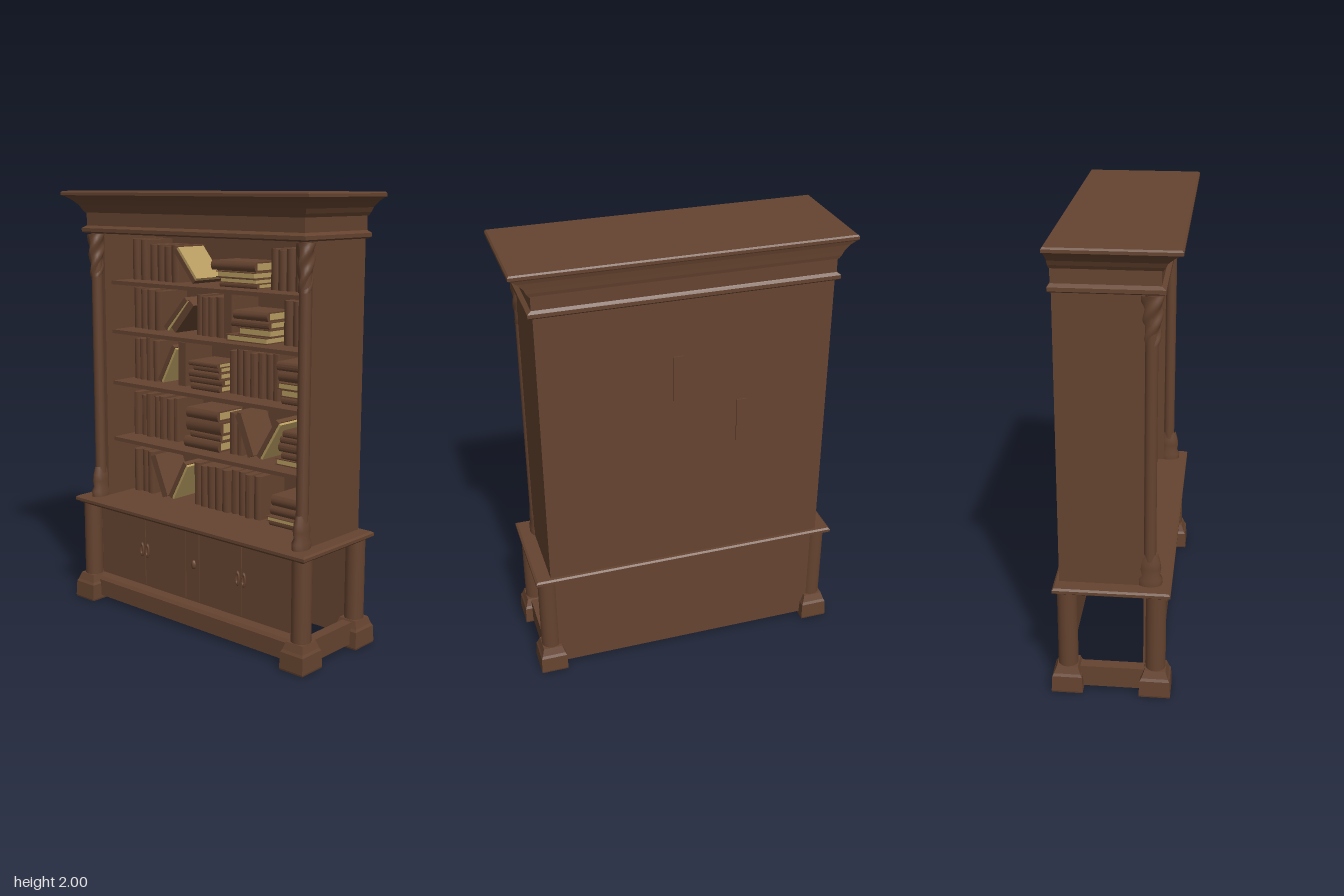
import * as THREE from 'three';
import { toCreasedNormals } from 'three/addons/utils/BufferGeometryUtils.js';

const wood = new THREE.MeshStandardMaterial({ color: 0x65432f });
wood.name = 'brown wood';
const paper = new THREE.MeshStandardMaterial({ color: 0xb89c60 });
paper.name = 'tan paper';

let seed = 7;
const rand = () => (seed = (seed * 16807) % 2147483647) / 2147483647;

function add(parent, name, geometry, material = wood) {
  const mesh = new THREE.Mesh(geometry, material);
  mesh.name = name;
  parent.add(mesh);
  return mesh;
}

// Box given by its limits on each axis
function box(parent, name, x0, x1, y0, y1, z0, z1, material = wood) {
  const mesh = add(parent, name, new THREE.BoxGeometry(x1 - x0, y1 - y0, z1 - z0), material);
  mesh.position.set((x0 + x1) / 2, (y0 + y1) / 2, (z0 + z1) / 2);
  return mesh;
}

// Stacked rectangular sections [y, half width, front z, back z]
function loft(sections) {
  const p = [];
  const rings = sections.map(([y, x, f, b]) => [[x, y, f], [x, y, b], [-x, y, b], [-x, y, f]]);
  const quad = (a, b, c, d) => p.push(...a, ...b, ...c, ...a, ...c, ...d);
  for (let k = 0; k + 1 < rings.length; k++) {
    for (let i = 0; i < 4; i++) {
      const j = (i + 1) % 4;
      quad(rings[k][i], rings[k][j], rings[k + 1][j], rings[k + 1][i]);
    }
  }
  quad(...rings[rings.length - 1]);
  quad(...[...rings[0]].reverse());
  const g = new THREE.BufferGeometry();
  g.setAttribute('position', new THREE.Float32BufferAttribute(p, 3));
  g.computeVertexNormals();
  return g;
}

// Book standing on its tail, rounded spine at z = 0, reaching back by d
function book(t, h, d, withPages) {
  const g = new THREE.Group();
  g.name = 'book';
  const b = Math.min(0.01, t / 4), e = t * 0.14;
  const s = new THREE.Shape();
  s.moveTo(-t / 2, d);
  s.lineTo(-t / 2, b);
  s.quadraticCurveTo(0, -b, t / 2, b);
  s.lineTo(t / 2, d);
  if (withPages) {
    s.lineTo(t / 2 - e, d);
    s.lineTo(t / 2 - e, 0.02);
    s.lineTo(e - t / 2, 0.02);
    s.lineTo(e - t / 2, d);
    box(g, 'pages', e - t / 2, t / 2 - e, 0.006, h - 0.006, 0.005 - d, -0.02, paper);
  }
  const cover = new THREE.ExtrudeGeometry(s, { depth: h, bevelEnabled: false, curveSegments: 4 });
  cover.rotateX(-Math.PI / 2);
  add(g, 'cover', toCreasedNormals(cover, 0.7));
  return g;
}

function uprightBooks(parent, y, x0, x1, h) {
  const n = Math.max(1, Math.round((x1 - x0) / 0.047)), w = (x1 - x0) / n;
  for (let i = 0; i < n; i++) {
    const b = book(w * (0.8 + 0.15 * rand()), h * (0.93 + 0.07 * rand()), 0.19, false);
    b.position.set(x0 + w * (i + 0.5), y, -0.03 - 0.015 * rand());
    parent.add(b);
  }
}

// Lying books, bottom first: [x0, x1, thickness, pages to the front]
function bookStack(parent, y, books) {
  for (const [x0, x1, t, pagesFront] of books) {
    const b = book(t * 0.96, x1 - x0, 0.18, true);
    const front = 0.01 - 0.03 * rand();
    b.rotation.set(0, pagesFront ? Math.PI : 0, Math.PI / 2);
    b.position.set(pagesFront ? x0 : x1, y + t / 2, pagesFront ? front - 0.18 : front);
    parent.add(b);
    y += t;
  }
}

function leaningBook(parent, x, y, angle, h, open) {
  const g = new THREE.Group();
  g.name = 'leaning book';
  box(g, 'cover', -0.018, open ? 0.004 : 0.018, 0, h, -0.2, -0.02);
  if (open) box(g, 'pages', 0.004, 0.016, 0.004, h - 0.004, -0.195, -0.023, paper);
  g.position.set(x, y, 0);
  g.rotation.z = angle;
  parent.add(g);
}

// Slim column with a twisted upper part and a swelling foot
function column() {
  const g = new THREE.Group();
  g.name = 'column';
  add(g, 'shaft', new THREE.CylinderGeometry(0.026, 0.026, 1.29, 16)).position.y = 1.165;
  const twist = new THREE.CylinderGeometry(0.03, 0.03, 0.2, 24, 24, true);
  const p = twist.attributes.position;
  for (let i = 0; i < p.count; i++) {
    const y = p.getY(i), a = Math.atan2(p.getZ(i), p.getX(i));
    const r = 0.027 + 0.012 * (y / 0.2 + 0.5) + 0.004 * Math.cos(3 * a + 75 * y);
    p.setXYZ(i, r * 0.85 * Math.cos(a), y, r * 1.15 * Math.sin(a));
  }
  twist.computeVertexNormals();
  add(g, 'twisted capital', twist).position.y = 1.7;
  const profile = [[0.04, 0.515], [0.042, 0.55], [0.033, 0.57], [0.037, 0.6], [0.034, 0.63], [0.026, 0.67]];
  add(g, 'columnFoot', new THREE.LatheGeometry(profile.map(q => new THREE.Vector2(...q)), 16)).scale.set(0.8, 1, 1.3);
  return g;
}

export function createModel() {
  const model = new THREE.Group();
  model.name = 'bookcase';

  // Crown, frieze and its lower moulding
  add(model, 'crown', loft([
    [1.9, 0.655, 0.19, -0.245], [1.915, 0.665, 0.2, -0.248], [1.935, 0.675, 0.21, -0.25],
    [1.96, 0.7, 0.235, -0.253], [1.975, 0.722, 0.255, -0.257], [1.98, 0.735, 0.27, -0.26],
    [1.993, 0.735, 0.27, -0.26], [2, 0.728, 0.263, -0.255]]));
  add(model, 'frieze', loft([
    [1.805, 0.655, 0.19, -0.245], [1.812, 0.667, 0.203, -0.253], [1.828, 0.667, 0.203, -0.253],
    [1.84, 0.65, 0.185, -0.243], [1.905, 0.65, 0.185, -0.243]]));

  // Carcass and shelves
  box(model, 'back', -0.645, 0.645, 0.51, 1.81, -0.24, -0.22);
  for (const s of [-1, 1]) {
    const side = box(model, 'side', 0.6, 0.645, 0.51, 1.81, -0.235, 0.122);
    side.position.x *= s;
    const c = column();
    c.position.set(s * 0.628, 0, 0.147);
    model.add(c);
  }
  for (const y of [0.803, 1.083, 1.334, 1.57]) box(model, 'shelf', -0.6, 0.6, y - 0.01, y + 0.008, -0.22, 0.08);

  // Base top, legs and feet
  add(model, 'baseTop', loft([
    [0.485, 0.69, 0.215, -0.24], [0.495, 0.705, 0.23, -0.252], [0.502, 0.715, 0.24, -0.262],
    [0.515, 0.715, 0.24, -0.262], [0.522, 0.706, 0.231, -0.254]]));
  for (const x of [-0.657, 0.657]) {
    for (const z of [0.177, -0.205]) {
      const leg = add(model, 'leg', new THREE.CylinderGeometry(0.044, 0.044, 0.39, 16));
      leg.position.set(x, 0.3, z);
      const foot = add(model, 'foot', loft([
        [0, 0.061, 0.067, -0.067], [0.008, 0.063, 0.069, -0.069], [0.08, 0.06, 0.065, -0.065],
        [0.092, 0.054, 0.058, -0.058], [0.125, 0.044, 0.046, -0.046]]));
      foot.position.set(x, 0, z);
    }
  }

  // Base panels and rails; the end panels face inwards
  box(model, 'basePanelBack', -0.63, 0.63, 0.02, 0.49, -0.235, -0.22);
  box(model, 'basePanelFront', -0.62, 0.62, 0.1, 0.49, 0.12, 0.15);
  box(model, 'plinth', -0.61, 0.61, 0.02, 0.1, 0.13, 0.19);
  add(model, 'plinthMoulding', loft([[0.1, 0.61, 0.185, 0.13], [0.112, 0.61, 0.175, 0.13], [0.128, 0.61, 0.155, 0.13]]));
  for (const s of [-1, 1]) {
    const rail = box(model, 'sideRail', 0.635, 0.685, 0.02, 0.12, -0.15, 0.13);
    rail.position.x *= s;
    const end = add(model, 'endPanel', new THREE.PlaneGeometry(0.36, 0.33));
    end.position.set(s * 0.63, 0.295, -0.03);
    end.rotation.y = -s * Math.PI / 2;
  }

  // Doors and their pulls
  for (const [x0, x1] of [[-0.6, -0.312], [-0.308, -0.045], [-0.04, 0.04], [0.045, 0.298], [0.302, 0.6]])
    box(model, 'door', x0, x1, 0.135, 0.48, 0.149, 0.155);
  for (const x of [-0.328, -0.292, 0.282, 0.318]) {
    const pull = add(model, 'pull', new THREE.TorusGeometry(0.011, 0.004, 8, 20));
    pull.scale.set(0.8, 2.4, 1.5);
    pull.position.set(x, 0.31, 0.16);
  }
  const knob = add(model, 'knob', new THREE.SphereGeometry(0.013, 14, 10));
  knob.scale.set(1, 1.7, 0.9);
  knob.position.set(0.01, 0.31, 0.157);

  // Upright books: [shelf y, x0, x1, height]
  const runs = [
    [1.578, -0.585, -0.48, 0.195], [1.578, -0.47, -0.265, 0.175], [1.578, 0.28, 0.597, 0.185],
    [1.342, -0.585, -0.385, 0.2], [1.342, -0.165, -0.045, 0.19], [1.342, -0.04, 0.075, 0.19], [1.342, 0.36, 0.597, 0.2],
    [1.091, -0.585, -0.405, 0.21], [1.091, 0.04, 0.35, 0.21],
    [0.811, -0.585, -0.275, 0.215], [0.811, 0.055, 0.14, 0.2],
    [0.522, -0.585, -0.45, 0.215], [0.522, -0.185, 0.24, 0.21]];
  for (const r of runs) uprightBooks(model, ...r);

  // Two deep books that show through the back
  for (const [x, y] of [[-0.245, 1.1], [0.045, 1.35]])
    box(model, 'deepBook', x - 0.023, x + 0.023, y - 0.008, y + 0.2, -0.246, -0.035);

  // Stacks
  bookStack(model, 1.578, [[0.01, 0.23, 0.022, false], [0.02, 0.24, 0.022, true], [0.01, 0.235, 0.03, true], [-0.03, 0.23, 0.045, false]]);
  bookStack(model, 1.342, [[0.07, 0.31, 0.03, true], [0.13, 0.32, 0.035, true], [0.09, 0.31, 0.033, false], [0.1, 0.3, 0.042, false]]);
  bookStack(model, 1.091, [[-0.16, 0.02, 0.03, false], [-0.175, 0.03, 0.03, false], [-0.17, 0.02, 0.03, false],
    [-0.15, 0.01, 0.025, false], [-0.16, 0.02, 0.022, false]]);
  bookStack(model, 1.091, [[0.39, 0.58, 0.03, false], [0.38, 0.58, 0.035, true], [0.37, 0.57, 0.03, true], [0.36, 0.58, 0.05, false], [0.36, 0.575, 0.04, false]]);
  bookStack(model, 0.811, [[-0.2, 0.02, 0.05, false], [-0.17, 0.02, 0.03, false], [-0.19, 0.03, 0.065, false], [-0.18, 0.02, 0.05, false]]);
  bookStack(model, 0.811, [[0.35, 0.58, 0.03, true], [0.38, 0.57, 0.03, false], [0.36, 0.58, 0.04, false], [0.37, 0.57, 0.03, false], [0.39, 0.56, 0.03, false]]);
  bookStack(model, 0.522, [[0.31, 0.55, 0.03, false], [0.32, 0.55, 0.022, true], [0.32, 0.56, 0.045, false], [0.33, 0.55, 0.05, false]]);

  // Leaning books: x, y, angle, height, pages showing
  const leaning = [
    [-0.145, 1.592, 0.7, 0.19, true], [-0.335, 1.356, -0.75, 0.2, true], [-0.285, 1.356, -0.72, 0.18, false],
    [-0.375, 1.1, -0.5, 0.2, true], [0.2, 0.82, 0.4, 0.2, false], [0.25, 0.822, -0.55, 0.21, true],
    [-0.35, 0.53, 0.4, 0.21, false], [-0.31, 0.532, -0.5, 0.21, true]];
  for (const l of leaning) leaningBook(model, ...l);

  return model;
}
